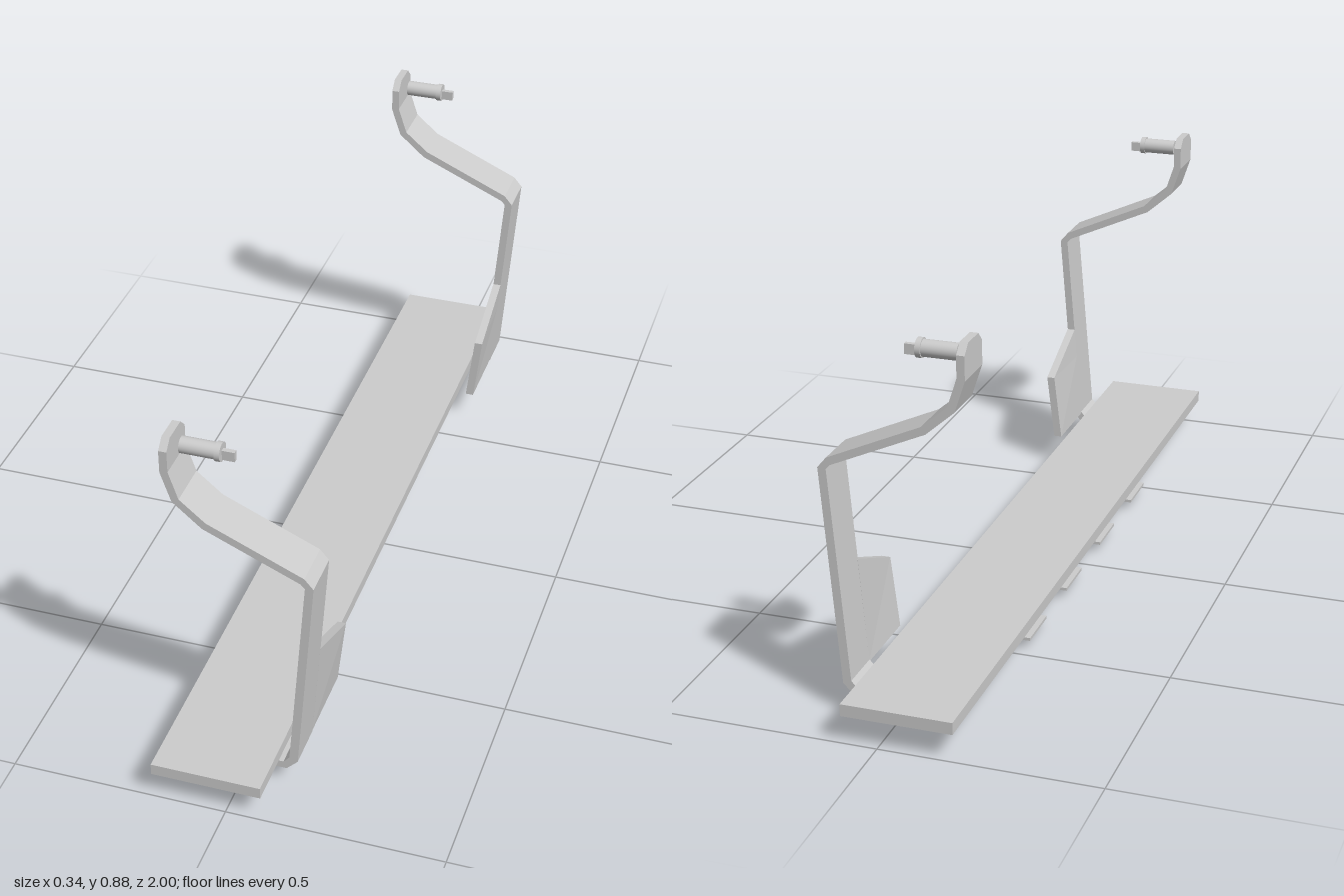
import * as THREE from 'three';

const material = new THREE.MeshStandardMaterial({ color: 0xcccccc, side: THREE.DoubleSide });

function addMesh(parent, name, geometry, x = 0, y = 0, z = 0) {
  const mesh = new THREE.Mesh(geometry, material);
  mesh.name = name;
  mesh.position.set(x, y, z);
  parent.add(mesh);
  return mesh;
}

// Bent sheet metal: each section is [ax, ay, bx, by, z0, z1], a lying left of the travel direction
function ribbon(sections) {
  const rings = sections.map(([ax, ay, bx, by, z0, z1]) =>
    [[ax, ay, z0], [ax, ay, z1], [bx, by, z1], [bx, by, z0]]);
  const out = [];
  const quad = (p, q, r, s) => out.push(...p, ...q, ...r, ...p, ...r, ...s);
  for (let i = 0; i + 1 < rings.length; i++) {
    const r = rings[i], n = rings[i + 1];
    for (let k = 0; k < 4; k++) {
      const j = (k + 1) % 4;
      quad(r[k], r[j], n[j], n[k]);
    }
  }
  const first = rings[0], last = rings[rings.length - 1];
  quad(first[0], first[3], first[2], first[1]);
  quad(...last);
  const geometry = new THREE.BufferGeometry();
  geometry.setAttribute('position', new THREE.Float32BufferAttribute(out, 3));
  geometry.computeVertexNormals();
  return geometry;
}

// Constant-thickness strip along a centre line with mitred bends
function strip(points, thickness, width) {
  const pts = points.map(p => new THREE.Vector2(...p));
  const normal = (a, b) => {
    const d = b.clone().sub(a).normalize();
    return new THREE.Vector2(-d.y, d.x);
  };
  return ribbon(pts.map((p, i) => {
    const n0 = i > 0 ? normal(pts[i - 1], p) : normal(p, pts[1]);
    const n1 = i + 1 < pts.length ? normal(p, pts[i + 1]) : n0;
    const m = n0.clone().add(n1).normalize();
    m.multiplyScalar(thickness / 2 / m.dot(n0));
    return [p.x + m.x, p.y + m.y, p.x - m.x, p.y - m.y, -width / 2, width / 2];
  }));
}

// Arm from chamfered tip down to the rounded foot
function armGeometry() {
  const h = 0.052, r = 0.04;
  const sections = [
    [-0.142, 0.88, -0.16, 0.88, -h + 0.022, h - 0.022],
    ...[
      [-0.142, 0.858, -0.16, 0.858],
      [-0.142, 0.808, -0.16, 0.804],
      [-0.121, 0.743, -0.137, 0.734],
      [-0.064, 0.694, -0.073, 0.678],
      [0.149, 0.598, 0.141, 0.582],
      [0.169, 0.574, 0.15, 0.572],
      [0.126, 0.076, 0.107, 0.084],
      [0.1, 0.05, 0.093, 0.068],
    ].map(s => [...s, -h, h]),
  ];
  for (let i = 0; i <= 5; i++) {
    const a = i / 5 * Math.PI / 2;
    const x = -0.128 + r - r * Math.sin(a), w = h - r * (1 - Math.cos(a));
    sections.push([x, 0.05, x, 0.068, -w, w]);
  }
  return ribbon(sections);
}

// Side plate running from the arm towards the middle, slightly twisted outwards
function gussetGeometry(side) {
  const near = 0.775;
  const section = (y, far) => {
    const z = side > 0 ? [far, near] : [-near, -far];
    return [0.126 + (y - 0.075) * 0.0863, y, 0.107 + (y - 0.084) * 0.0863, y, ...z];
  };
  const geometry = ribbon([section(0.323, 0.772), section(0.247, 0.592), section(0.08, 0.592)]);
  const p = geometry.attributes.position;
  for (let i = 0; i < p.count; i++) {
    const y = p.getY(i), z = Math.abs(p.getZ(i));
    p.setX(i, p.getX(i) + 0.033 * (near - z) * (y - 0.08) / 0.167);
  }
  geometry.computeVertexNormals();
  return geometry;
}

export function createModel() {
  const model = new THREE.Group();
  model.name = 'bracketedRail';

  addMesh(model, 'board', new THREE.BoxGeometry(0.252, 0.028, 2), -0.044, 0.082, 0);

  // Two mirrored brackets
  for (const side of [1, -1]) {
    const bracket = new THREE.Group();
    bracket.name = side > 0 ? 'frontBracket' : 'backBracket';
    const z = side * 0.825;
    addMesh(bracket, 'arm', armGeometry(), 0, 0, z);
    addMesh(bracket, 'gusset', gussetGeometry(side));

    // Pin with collar and flat blade
    const rod = (name, radius, x0, x1) => addMesh(bracket, name,
      new THREE.CylinderGeometry(radius, radius, x1 - x0, 32).rotateZ(-Math.PI / 2),
      (x0 + x1) / 2, 0.846, z);
    rod('pin', 0.0185, -0.13, -0.052);
    rod('pinCollar', 0.0215, -0.052, -0.04);
    addMesh(bracket, 'pinBlade', new THREE.BoxGeometry(0.028, 0.023, 0.011), -0.026, 0.841, z);
    model.add(bracket);
  }

  // Row of spring clips under the board
  for (let i = 0; i < 4; i++) {
    const clip = new THREE.Group();
    clip.name = 'clip' + (i + 1);
    clip.position.z = (i - 1.5) * 0.273;
    addMesh(clip, 'spring', strip([[-0.08, 0.068], [-0.073, 0.028], [-0.055, 0.008],
      [0.013, 0.036], [0.022, 0.05], [0.022, 0.068]], 0.007, 0.12));
    addMesh(clip, 'tab', strip([[-0.161, 0.028], [-0.121, 0.028], [-0.106, 0.042]], 0.007, 0.12));
    addMesh(clip, 'tabStem', strip([[-0.108, 0.04], [-0.098, 0.05], [-0.092, 0.068]], 0.007, 0.06));
    model.add(clip);
  }
  return model;
}
